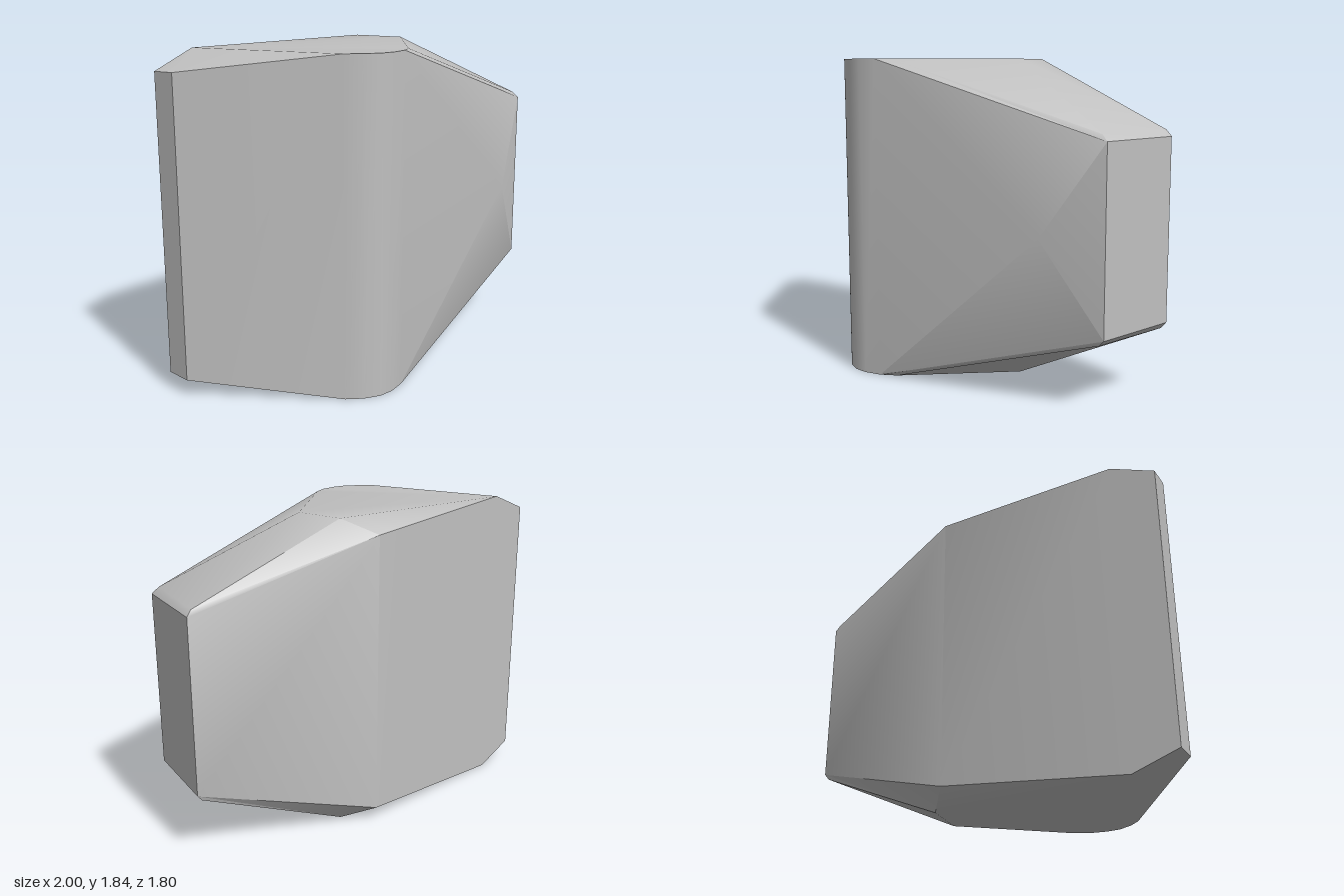
import * as THREE from 'three';
import { toCreasedNormals } from 'three/addons/utils/BufferGeometryUtils.js';

const HEIGHT = 1.84;

// Upper rim of the walls, anticlockwise seen from above
const rim = [
  [-1, 1.74, 0.81], [-0.89, 1.745, 0.9], [-0.04, 1.84, 0.9],                  // chamfer, front edge
  [0.06, 1.84, 0.888], [0.15, 1.84, 0.85], [0.21, 1.84, 0.79], [0.26, 1.84, 0.7], // rounded corner
  [1, 1.43, -0.5], [0.66, 1.43, -0.9],                                        // narrow end
  [-0.24, 1.755, -0.27], [-0.85, 1.84, 0.6],                                  // back edge
];
const [A, B, C, D, E, F, G, endFront, endBack, backBend, backLeft] = rim;

// Corners inside the rim, on the cap
const ridgeBack = [-0.02, 1.84, -0.27];
const ridgeMid = [0.24, 1.84, -0.13];
const ridgeFront = [0.28, 1.84, 0.6];
const bevelFront = [0.965, 1.465, -0.48];
const bevelBack = [0.645, 1.465, -0.875];
const bulge = [0.88, 0.92, -0.17];

const capFaces = [
  [backLeft, C, D, E, F, G, ridgeFront, ridgeMid, ridgeBack], // flat plateau
  [B, C, backLeft, A],                                        // front left slope
  [ridgeFront, G, endFront, bevelFront],                      // strip above the side wall
  [ridgeMid, ridgeFront, bevelFront, bevelBack],              // long slope
  [ridgeBack, ridgeMid, bevelBack],
  [bevelFront, endFront, endBack, bevelBack],                 // small end bevel
  [bevelBack, endBack, backBend, ridgeBack],                  // back slope
  [ridgeBack, backBend, backLeft],
];

const flip = ([x, y, z]) => [x, HEIGHT - y, z];

export function createModel() {
  const positions = [];
  const addFace = (points) => {
    for (let i = 1; i < points.length - 1; i++) {
      positions.push(...points[0], ...points[i], ...points[i + 1]);
    }
  };

  // Cap and its mirrored underside
  for (const face of capFaces) {
    addFace(face);
    addFace(face.map(flip).reverse());
  }

  // Upright walls; the long side wall swells out to one point
  rim.forEach((p, i) => {
    const q = rim[(i + 1) % rim.length];
    const wall = [flip(p), flip(q), q, p];
    if (p === G) wall.forEach((a, k) => addFace([bulge, a, wall[(k + 1) % 4]]));
    else addFace(wall);
  });

  const geometry = new THREE.BufferGeometry();
  geometry.setAttribute('position', new THREE.Float32BufferAttribute(positions, 3));

  const stone = new THREE.MeshStandardMaterial({ color: 0xc0c0c0 });
  stone.name = 'light grey';

  const block = new THREE.Mesh(toCreasedNormals(geometry, THREE.MathUtils.degToRad(35)), stone);
  block.name = 'facetedBlock';

  const group = new THREE.Group();
  group.name = 'facetedStone';
  group.add(block);
  return group;
}
